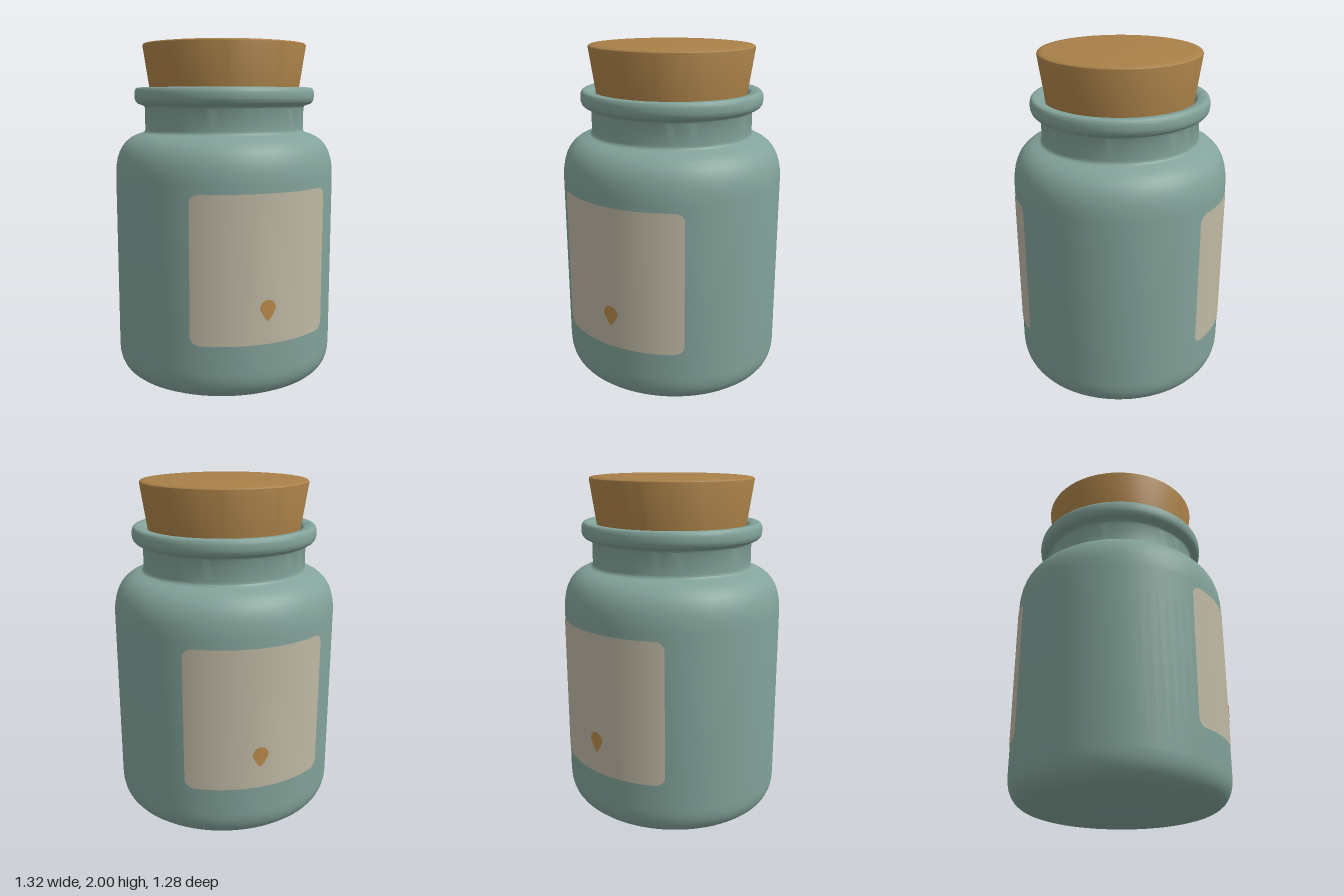
import * as THREE from 'three';
import { toCreasedNormals } from 'three/addons/utils/BufferGeometryUtils.js';

const RADIUS = 0.66;
const DEPTH = 0.96; // the jar is slightly shallower than wide

// Revolve a profile, flatten it front to back and keep hard edges crisp
function turned(name, path, material) {
  const geometry = new THREE.LatheGeometry(path.getPoints(8), 72);
  geometry.scale(1, 1, DEPTH);
  const mesh = new THREE.Mesh(toCreasedNormals(geometry, 0.6), material);
  mesh.name = name;
  return mesh;
}

// Thin patch wrapped on the jar wall; low(t) and high(t) give its edges for t in -1..1
function wrapped(name, halfWidth, low, high, lift, material) {
  const geometry = new THREE.PlaneGeometry(2, 1, 56, 1);
  const p = geometry.attributes.position;
  const r = RADIUS + lift;
  for (let i = 0; i < p.count; i++) {
    const t = Math.sin(p.getX(i) * Math.PI / 2); // denser columns near the ends
    const x = t * halfWidth;
    const y = p.getY(i) > 0 ? high(t) : low(t);
    p.setXYZ(i, x, y, Math.sqrt(r * r - x * x) * DEPTH);
  }
  geometry.computeVertexNormals();
  const mesh = new THREE.Mesh(geometry, material);
  mesh.name = name;
  return mesh;
}

export function createModel() {
  const glaze = new THREE.MeshStandardMaterial({ color: 0x83a39a });
  glaze.name = 'sage glaze';
  const cork = new THREE.MeshStandardMaterial({ color: 0xa98048 });
  cork.name = 'cork brown';
  const paper = new THREE.MeshStandardMaterial({ color: 0xbfb8a4 });
  paper.name = 'label paper';
  const ochre = new THREE.MeshStandardMaterial({ color: 0xb98a4a });
  ochre.name = 'ochre';

  const jar = new THREE.Group();
  jar.name = 'corkedJar';

  // Body, shoulder, neck, rolled lip and inside of the mouth
  const body = new THREE.Path();
  body.moveTo(0, 0);
  body.lineTo(0.5, 0.003);
  body.bezierCurveTo(0.6, 0.01, RADIUS, 0.06, RADIUS, 0.18);
  body.lineTo(RADIUS, 1.22);
  body.bezierCurveTo(RADIUS, 1.38, 0.6, 1.45, 0.5, 1.475);
  body.quadraticCurveTo(0.48, 1.48, 0.48, 1.5);
  body.lineTo(0.48, 1.62);
  body.quadraticCurveTo(0.482, 1.638, 0.51, 1.642);
  body.bezierCurveTo(0.535, 1.65, 0.542, 1.67, 0.542, 1.695);
  body.bezierCurveTo(0.542, 1.725, 0.535, 1.742, 0.515, 1.742);
  body.lineTo(0.475, 1.737);
  body.quadraticCurveTo(0.455, 1.73, 0.452, 1.7);
  body.lineTo(0.44, 1.56);
  body.lineTo(0, 1.56);
  jar.add(turned('jarBody', body, glaze));

  // Tapered stopper with a softened top edge
  const stopper = new THREE.Path();
  stopper.moveTo(0, 1.6);
  stopper.lineTo(0.43, 1.6);
  stopper.lineTo(0.488, 1.98);
  stopper.quadraticCurveTo(0.49, 1.993, 0.478, 1.996);
  stopper.lineTo(0.44, 2);
  stopper.lineTo(0, 2);
  jar.add(turned('corkStopper', stopper, cork));

  // Round-cornered label with a drop mark, on the front and the back
  const halfWidth = 0.407, corner = 0.05;
  const inset = (t) => {
    const d = Math.max(0, Math.abs(t) * halfWidth - (halfWidth - corner));
    return corner - Math.sqrt(Math.max(0, corner * corner - d * d));
  };
  for (const side of ['front', 'back']) {
    const label = new THREE.Group();
    label.name = side + 'Label';
    label.add(wrapped(side + 'LabelPaper', halfWidth,
      (t) => 0.342 + inset(t), (t) => 1.18 - inset(t), 0.003, paper));
    label.add(wrapped(side + 'DropMark', 0.048,
      (t) => 0.475 + 0.07 * Math.abs(t) ** 1.4,
      (t) => 0.545 + 0.05 * Math.sqrt(Math.max(0, 1 - t * t)), 0.007, ochre));
    if (side === 'back') label.rotation.y = Math.PI;
    jar.add(label);
  }
  return jar;
}
